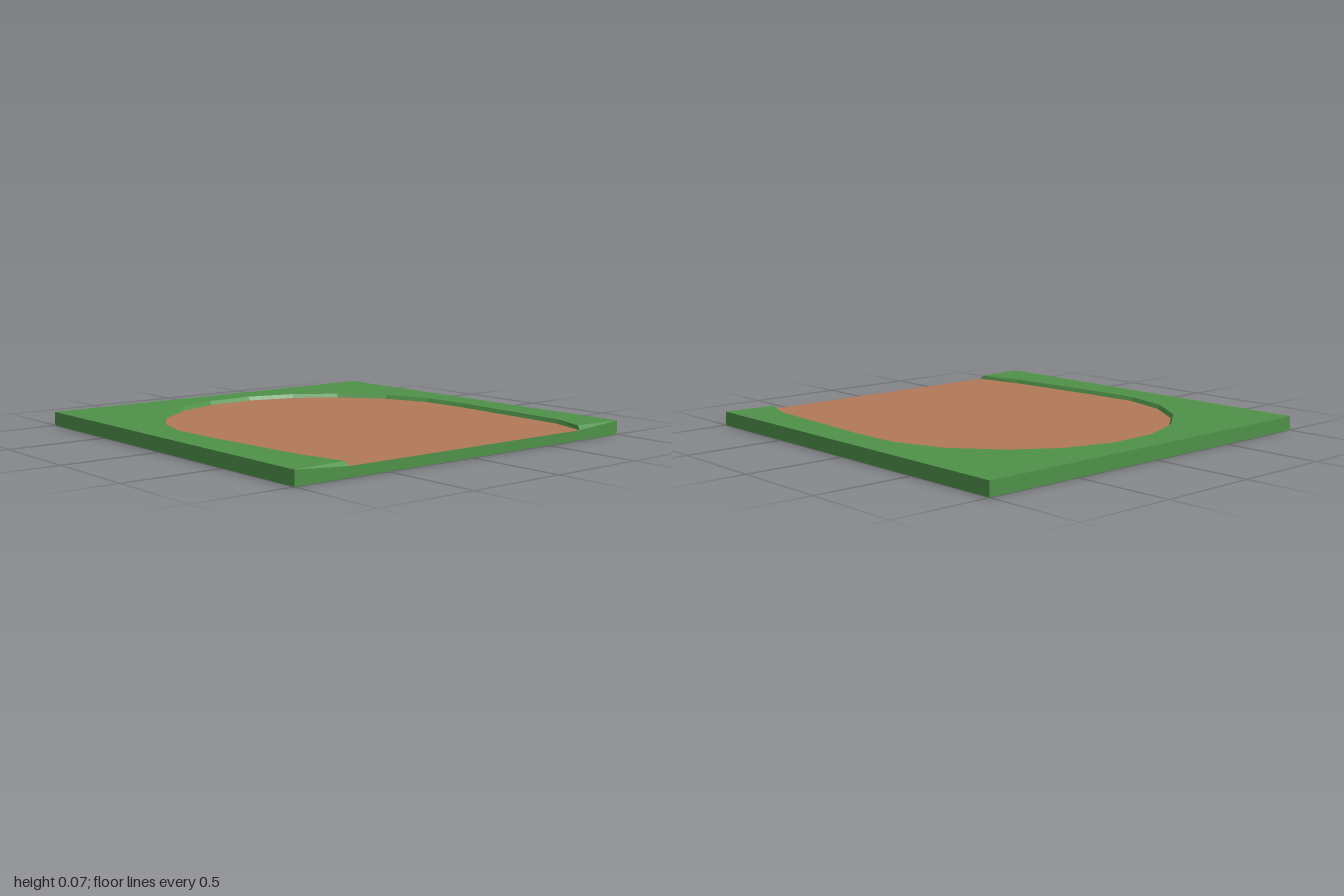
import * as THREE from 'three';

const BASE = 0.05, TOP = 0.07;

// Outline of the sunken floor as [x, z], from the back right end round to the front right end
const floorLine = [
  [1, -0.72], [0.79, -0.79], [0.38, -0.81], [0.1, -0.825], [-0.16, -0.815], [-0.4, -0.73],
  [-0.615, -0.555], [-0.755, -0.35], [-0.825, -0.1], [-0.815, 0.16], [-0.725, 0.4],
  [-0.565, 0.605], [-0.35, 0.75], [-0.1, 0.82], [0.19, 0.81], [0.74, 0.765], [1, 0.715],
];
// The rim above it lies slightly further out
const rimLine = floorLine.map(([x, z], i) => {
  if (i === 0 || i === floorLine.length - 1) return [0.98, z + Math.sign(z) * 0.01];
  const r = Math.hypot(x, z), k = (r + 0.012) / r;
  return [x * k, z * k];
});

// Flat upward-facing sheet from an [x, z] outline
function sheet(outline, y) {
  const shape = new THREE.Shape(outline.map(([x, z]) => new THREE.Vector2(x, -z)));
  return new THREE.ShapeGeometry(shape).rotateX(-Math.PI / 2).translate(0, y, 0);
}

// Faces from lists of 3D corners, each fanned from its first corner
function faces(polygons) {
  const pos = [];
  for (const p of polygons)
    for (let i = 1; i < p.length - 1; i++) pos.push(...p[0], ...p[i], ...p[i + 1]);
  const g = new THREE.BufferGeometry();
  g.setAttribute('position', new THREE.Float32BufferAttribute(pos, 3));
  g.computeVertexNormals();
  return g;
}

export function createModel() {
  const group = new THREE.Group();
  const grass = new THREE.MeshStandardMaterial({ color: 0x4f9149, side: THREE.DoubleSide, flatShading: true });
  grass.name = 'grass green';
  const dirt = new THREE.MeshStandardMaterial({ color: 0xb27858, side: THREE.DoubleSide, flatShading: true });
  dirt.name = 'dirt brown';

  const add = (name, geometry, material) => {
    const mesh = new THREE.Mesh(geometry, material);
    mesh.name = name;
    group.add(mesh);
  };

  // Sunken dirt floor, open at the +x edge
  add('dirtFloor', sheet(floorLine, BASE), dirt);

  // Raised grass surface around the floor
  add('grassTop', sheet([[1, -1], ...rimLine, [1, 1], [-1, 1], [-1, -1]], TOP), grass);

  // Sloped bank between rim and floor
  const bank = [];
  for (let i = 0; i < floorLine.length - 1; i++) {
    const [a, b] = [floorLine[i], floorLine[i + 1]];
    const [c, d] = [rimLine[i], rimLine[i + 1]];
    bank.push([[a[0], BASE, a[1]], [b[0], BASE, b[1]], [d[0], TOP, d[1]], [c[0], TOP, c[1]]]);
  }
  // Corner slopes where the bank runs out to the open edge
  const [f0, f1, r0, r1] = [floorLine[0], floorLine.at(-1), rimLine[0], rimLine.at(-1)];
  bank.push([[1, TOP, -1], [r0[0], TOP, r0[1]], [1, BASE, f0[1]]]);
  bank.push([[1, TOP, 1], [1, BASE, f1[1]], [r1[0], TOP, r1[1]]]);
  add('grassBank', faces(bank), grass);

  // Outer sides and underside
  add('tileSides', faces([
    [[-1, 0, 1], [1, 0, 1], [1, TOP, 1], [-1, TOP, 1]],
    [[1, 0, -1], [-1, 0, -1], [-1, TOP, -1], [1, TOP, -1]],
    [[-1, 0, -1], [-1, 0, 1], [-1, TOP, 1], [-1, TOP, -1]],
    [[1, BASE, f1[1]], [1, TOP, 1], [1, 0, 1]].reverse(),
    [[1, BASE, f0[1]], [1, 0, -1], [1, TOP, -1]].reverse(),
    [[1, 0, 1], [1, 0, -1], [1, BASE, f0[1]], [1, BASE, f1[1]]],
    [[-1, 0, -1], [1, 0, -1], [1, 0, 1], [-1, 0, 1]],
  ]), grass);

  return group;
}
